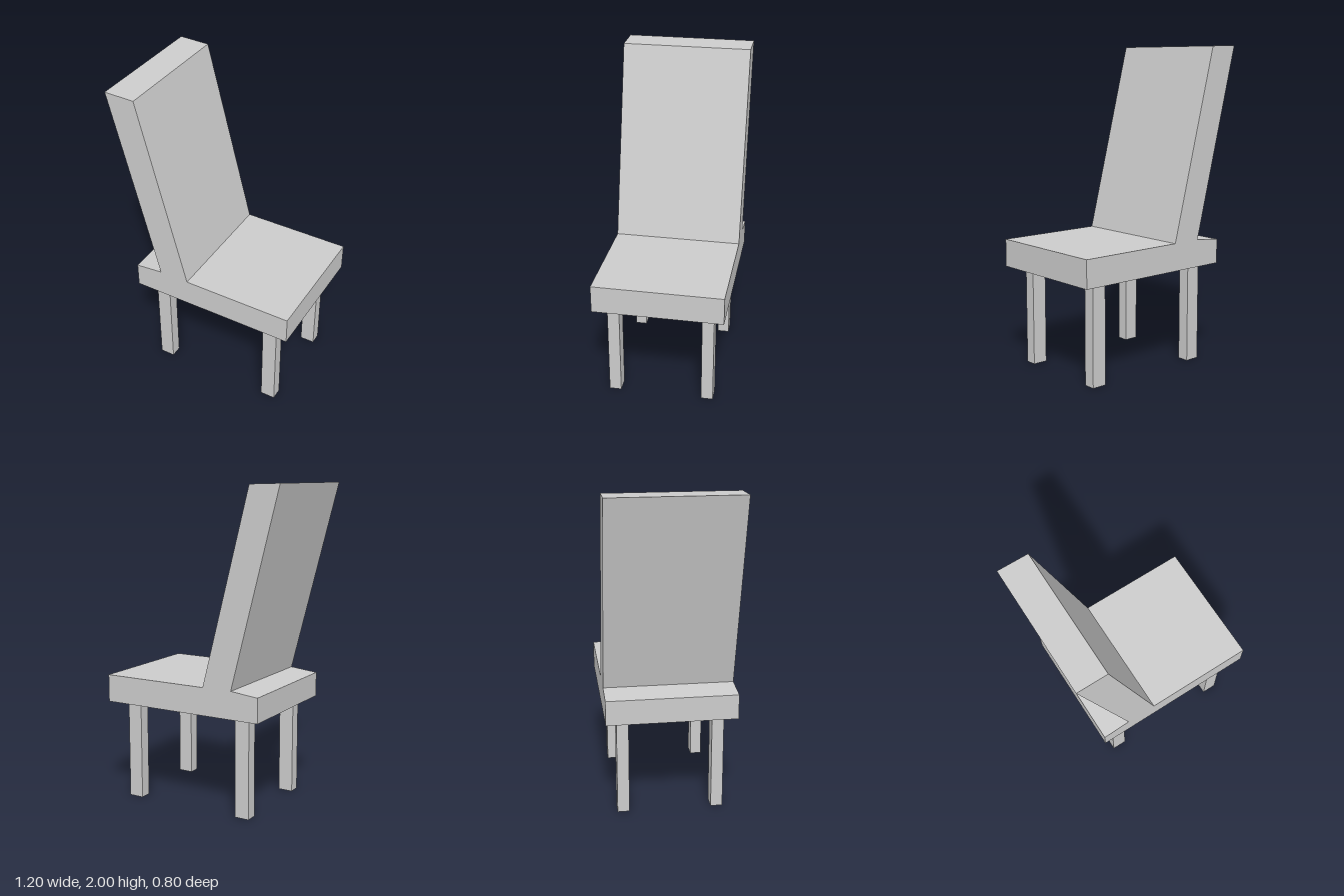
import * as THREE from 'three';

const DEPTH = 0.804;

export function createModel() {
  const group = new THREE.Group();
  const material = new THREE.MeshStandardMaterial({ color: 0xcccccc, flatShading: true });

  // Seat and leaning backrest: one side profile, extruded across the chair's width
  const profile = new THREE.Shape([
    [-0.47, 0.627], [0.6, 0.627], [0.6, 0.8], [-0.098, 0.8],
    [-0.407, 1.995], [-0.6, 2], [-0.291, 0.8], [-0.47, 0.782],
  ].map(([x, y]) => new THREE.Vector2(x, y)));
  const body = new THREE.ExtrudeGeometry(profile, { depth: DEPTH, bevelEnabled: false });
  body.translate(0, 0, -DEPTH / 2);
  const seat = new THREE.Mesh(body, material);
  seat.name = 'seatAndBackrest';
  group.add(seat);

  // Four square legs
  const legGeometry = new THREE.BoxGeometry(0.094, 0.627, 0.074);
  for (const [end, x] of [['back', -0.328], ['front', 0.451]]) {
    for (const [side, z] of [['Right', 0.294], ['Left', -0.294]]) {
      const leg = new THREE.Mesh(legGeometry, material);
      leg.name = `${end}${side}Leg`;
      leg.position.set(x, 0.3135, z);
      group.add(leg);
    }
  }
  return group;
}
